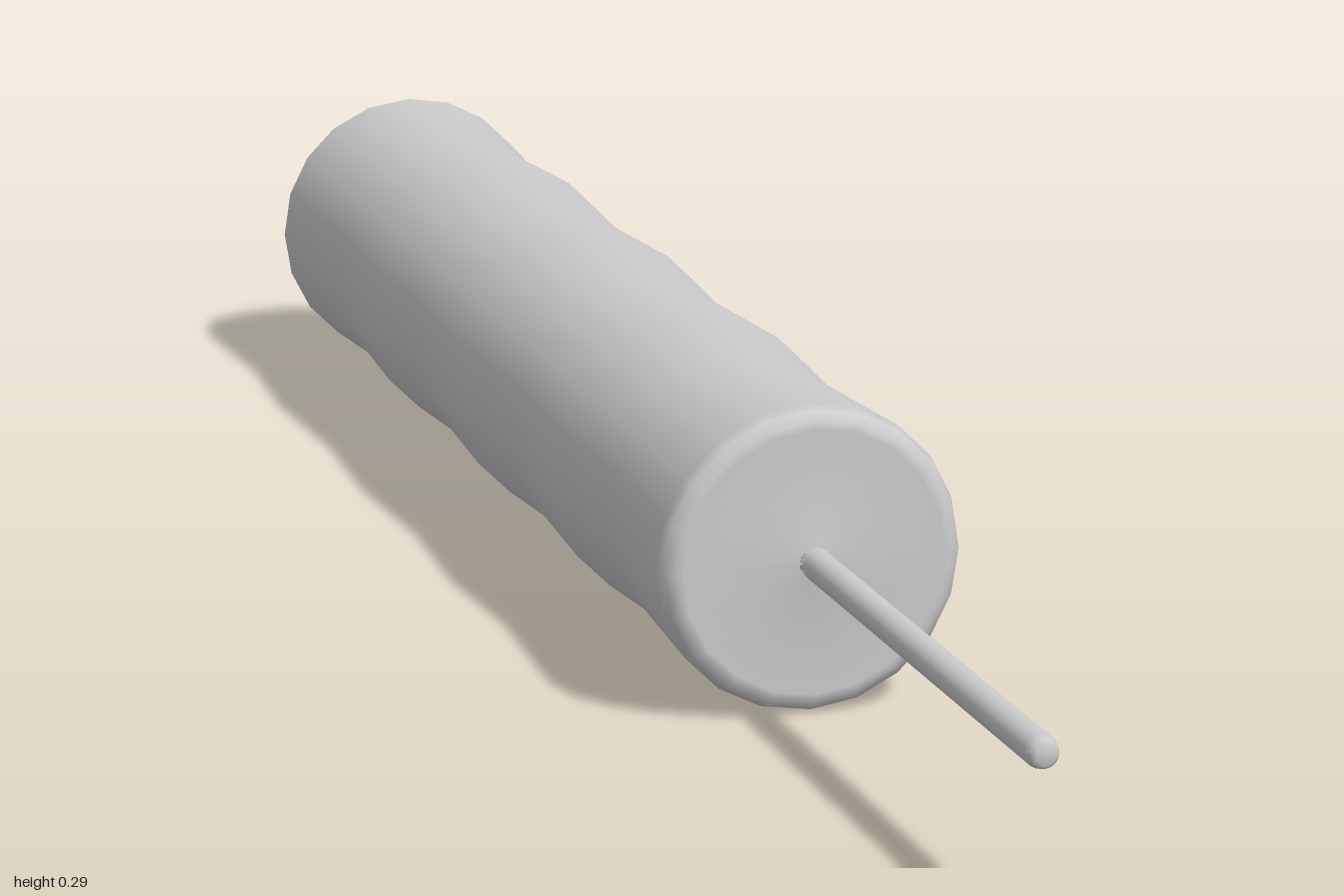
import * as THREE from 'three';

const SIDES = 20;
const AXIS_HEIGHT = 0.147;

// Revolves [radius, z] points, listed from back to front, around the z axis
function turned(name, profile, material) {
  const points = profile.map(([r, z]) => new THREE.Vector2(r, z));
  const geometry = new THREE.LatheGeometry(points, SIDES);
  geometry.rotateX(Math.PI / 2);
  const mesh = new THREE.Mesh(geometry, material);
  mesh.name = name;
  mesh.position.y = AXIS_HEIGHT;
  return mesh;
}

export function createModel() {
  const group = new THREE.Group();
  group.name = 'handleWithSpike';
  const material = new THREE.MeshStandardMaterial({ color: 0xcccccc });

  // Grip: flat back, rounded rims, finger swells between narrow waists;
  // a short collar at the front blends the end face into the rod
  group.add(turned('grip', [
    [0, -1], [0.126, -1], [0.133, -0.999], [0.142, -0.993], [0.146, -0.98],
    [0.136, -0.8], [0.145, -0.64],
    [0.136, -0.46], [0.145, -0.29],
    [0.136, -0.12], [0.145, 0.06],
    [0.136, 0.21],
    [0.146, 0.4], [0.142, 0.413], [0.133, 0.419], [0.126, 0.42],
    [0.015, 0.42], [0.015, 0.435],
  ], material));

  // Thin rod with a softened tip
  group.add(turned('rod', [
    [0.015, 0.4], [0.015, 0.988], [0.013, 0.996], [0.009, 1], [0, 1],
  ], material));

  return group;
}
